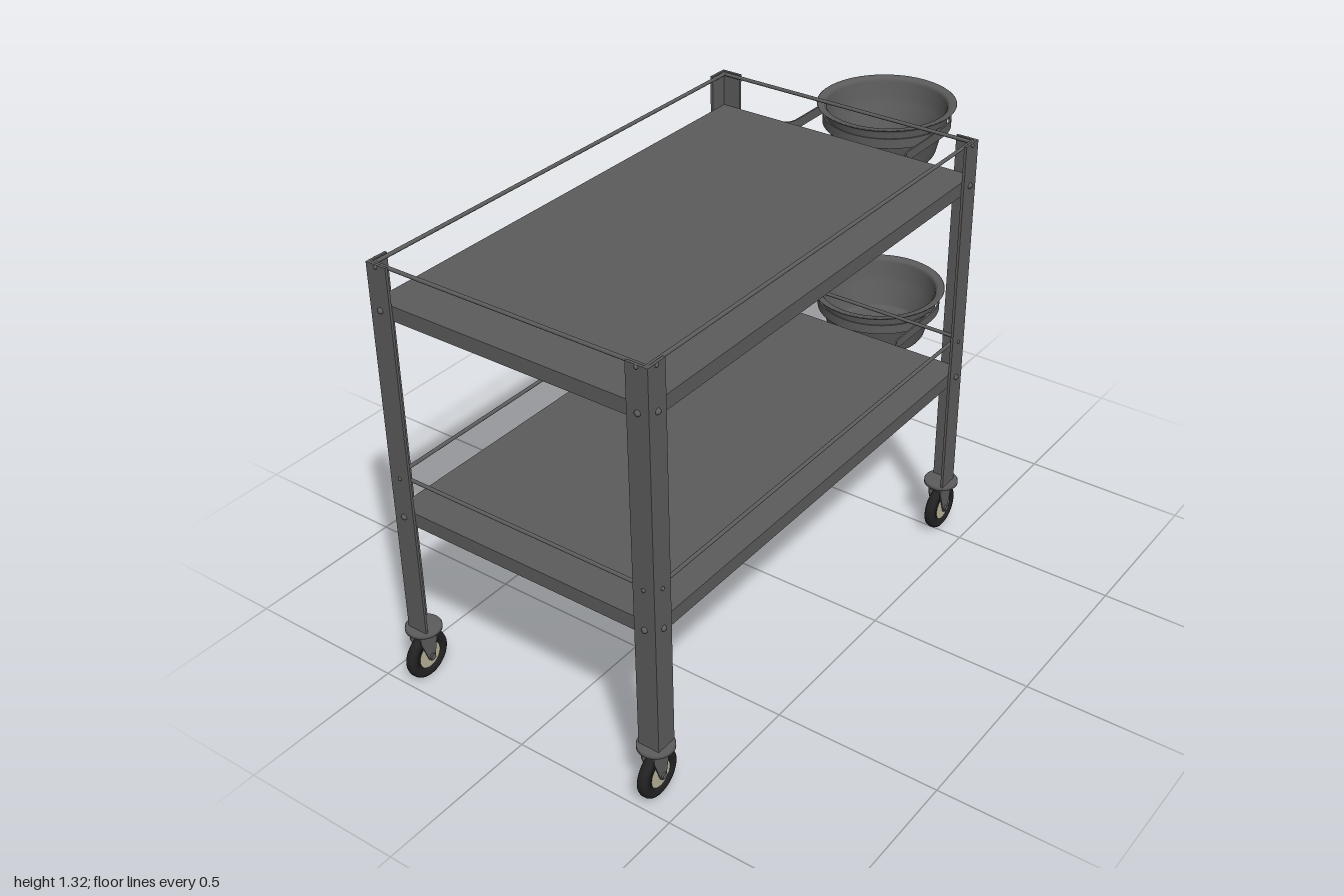
import * as THREE from 'three';

const steel = new THREE.MeshStandardMaterial({ color: 0x5c5c5c, side: THREE.DoubleSide });
const rubber = new THREE.MeshStandardMaterial({ color: 0x222222 });
const hubMat = new THREE.MeshStandardMaterial({ color: 0xb8b29a });

// Overall frame: outer faces of the four corner posts
const X0 = -0.957, X1 = 0.547, Z = 0.438, CX = (X0 + X1) / 2;
const POST = 0.066, T = 0.008, SHELVES = [0.585, 1.217];

function add(parent, name, geometry, material, x = 0, y = 0, z = 0) {
  const mesh = new THREE.Mesh(geometry, material);
  mesh.name = name;
  mesh.position.set(x, y, z);
  parent.add(mesh);
  return mesh;
}

function group(parent, name, x = 0, y = 0, z = 0) {
  const g = new THREE.Group();
  g.name = name;
  g.position.set(x, y, z);
  parent.add(g);
  return g;
}

const box = (w, h, d) => new THREE.BoxGeometry(w, h, d);
const lathe = (pts, n = 48) => new THREE.LatheGeometry(pts.map(p => new THREE.Vector2(...p)), n);

// Domed bolt head whose dome points along +y before turning
const boltGeo = r => lathe([[r, 0], [r * 0.85, r * 0.5], [r * 0.5, r * 0.8], [0, r * 0.9]], 12);

// Angle-iron corner post with bolts on both outer faces
function buildPost(root, sx, sz) {
  const post = group(root, 'cornerPost', sx > 0 ? X1 : X0, 0, sz * Z);
  const h = 1.148, y = 0.178 + h / 2;
  add(post, 'postFrontFlange', box(POST, h, T), steel, -sx * POST / 2, y, -sz * T / 2);
  add(post, 'postSideFlange', box(T, h, POST - T), steel, -sx * T / 2, y, -sz * (POST + T) / 2);
  for (const top of SHELVES) {
    for (const [dy, r] of [[-0.02, 0.009], [0.103, 0.006]]) {
      add(post, 'bolt', boltGeo(r), steel, -sx * POST / 2, top + dy, 0).rotation.x = sz * Math.PI / 2;
      add(post, 'bolt', boltGeo(r), steel, 0, top + dy, -sz * POST / 2).rotation.z = -sx * Math.PI / 2;
    }
  }
}

// Swivel caster: round plate, stem, leaning fork, wheel
function buildCaster(root, x, z) {
  const c = group(root, 'caster', x, 0, z);
  add(c, 'casterPlate', lathe([[0, 0.164], [0.045, 0.164], [0.052, 0.167], [0.052, 0.176], [0.049, 0.179], [0, 0.179]], 32), steel);
  add(c, 'casterStem', new THREE.CylinderGeometry(0.018, 0.018, 0.02, 20), steel, 0, 0.156, 0);
  const side = new THREE.Shape();
  side.moveTo(-0.036, 0.157);
  side.lineTo(0.024, 0.157);
  side.lineTo(0.026, 0.135);
  side.lineTo(0.012, 0.066);
  side.quadraticCurveTo(0, 0.054, -0.01, 0.067);
  side.lineTo(-0.036, 0.14);
  const forkGeo = new THREE.ExtrudeGeometry(side, { depth: 0.004, bevelEnabled: false });
  for (const fz of [-0.022, 0.018]) add(c, 'forkSide', forkGeo, steel, 0, 0, fz);
  add(c, 'forkBridge', box(0.06, 0.005, 0.044), steel, -0.006, 0.155, 0);
  const wheel = group(c, 'wheel', 0, 0.076, 0);
  wheel.rotation.x = Math.PI / 2;
  const tyre = [[0.04, -0.014], [0.062, -0.016], [0.069, -0.012], [0.072, -0.005], [0.072, 0.005],
    [0.069, 0.012], [0.062, 0.016], [0.04, 0.014], [0.04, -0.014]];
  add(wheel, 'tyre', lathe(tyre, 40), rubber);
  add(wheel, 'hub', new THREE.CylinderGeometry(0.041, 0.041, 0.025, 32), hubMat);
  add(wheel, 'axle', new THREE.CylinderGeometry(0.006, 0.006, 0.056, 12), steel);
  for (const s of [-1, 1]) add(wheel, 'axleNut', new THREE.CylinderGeometry(0.01, 0.01, 0.006, 6), steel, 0, s * 0.025, 0);
}

// Tray shelf: sheet with turned-down edges and an inward lip, plus guard rails
function buildShelf(root, top) {
  const s = group(root, 'shelf', CX, top, 0);
  const w = X1 - X0 - 2 * T, d = 2 * (Z - T), h = 0.043, lip = 0.02, t = 0.005;
  add(s, 'shelfSheet', box(w, t, d), steel, 0, -t / 2, 0);
  for (const k of [-1, 1]) {
    add(s, 'longEdge', box(w, h, t), steel, 0, -h / 2, k * (d - t) / 2);
    add(s, 'shortEdge', box(t, h, d), steel, k * (w - t) / 2, -h / 2, 0);
    add(s, 'longLip', box(w, t, lip), steel, 0, -h + t / 2, k * (d - lip) / 2);
    add(s, 'shortLip', box(lip, t, d), steel, k * (w - lip) / 2, -h + t / 2, 0);
    const long = new THREE.CylinderGeometry(0.0055, 0.0055, w, 12).rotateZ(Math.PI / 2);
    add(s, 'longRail', long, steel, 0, 0.103, k * (d / 2 - 0.006));
    const short = new THREE.CylinderGeometry(0.0055, 0.0055, d, 12).rotateX(Math.PI / 2);
    add(s, 'shortRail', short, steel, k * (w / 2 - 0.006), 0.103, 0);
  }
}

// Flat strap swept along a plan outline: upright rectangle section in a loop
function strapGeometry(pts, height, thick) {
  const pos = [], index = [], n = pts.length;
  pts.forEach((p, i) => {
    const a = pts[Math.max(i - 1, 0)], b = pts[Math.min(i + 1, n - 1)];
    const dir = b.clone().sub(a).normalize();
    for (const [o, y] of [[-1, -1], [1, -1], [1, 1], [-1, 1]]) {
      pos.push(p.x - dir.y * o * thick / 2, y * height / 2, p.y + dir.x * o * thick / 2);
    }
    if (i < n - 1) {
      for (let j = 0; j < 4; j++) {
        const q = i * 4 + j, r = i * 4 + (j + 1) % 4;
        index.push(q, r, q + 4, r, r + 4, q + 4);
      }
    }
  });
  index.push(0, 2, 1, 0, 3, 2);
  const e = (n - 1) * 4;
  index.push(e, e + 1, e + 2, e, e + 2, e + 3);
  const g = new THREE.BufferGeometry();
  g.setAttribute('position', new THREE.Float32BufferAttribute(pos, 3));
  g.setIndex(index);
  const flat = g.toNonIndexed();
  flat.computeVertexNormals();
  return flat;
}

// Basin hung in a strap that is riveted to the shelf end
function buildBasin(root, top) {
  const b = group(root, 'basinHolder', 0, top, 0);
  const cx = 0.781, r = 0.194, x = X1 - T + 0.003;
  const path = new THREE.Path();
  path.moveTo(x, 0.365);
  path.lineTo(x, 0.235);
  path.quadraticCurveTo(x + 0.003, r, x + 0.045, r);
  path.lineTo(cx, r);
  path.absarc(cx, 0, r, Math.PI / 2, -Math.PI / 2, true);
  path.lineTo(x + 0.045, -r);
  path.quadraticCurveTo(x + 0.003, -r, x, -0.235);
  path.lineTo(x, -0.365);
  add(b, 'holderStrap', strapGeometry(path.getPoints(24), 0.03, 0.005), steel, 0, -0.02, 0);
  // Inner half of the ring, nearest the shelf
  const inner = new THREE.Path();
  inner.absarc(cx, 0, r - 0.004, Math.PI / 2, Math.PI * 1.5, false);
  add(b, 'holderRing', strapGeometry(inner.getPoints(32), 0.03, 0.005), steel, 0, -0.02, 0);
  for (const z of [-0.345, -0.285, 0.285, 0.345]) {
    add(b, 'rivet', boltGeo(0.006), steel, x + 0.002, -0.02, z).rotation.z = -Math.PI / 2;
  }
  // Outside wall upward, over the rim, inside wall down
  const profile = [[0, -0.137], [0.135, -0.137], [0.146, -0.133], [0.153, -0.122], [0.172, -0.045], [0.176, -0.036],
    [0.182, -0.03], [0.185, 0.012], [0.19, 0.022], [0.207, 0.027], [0.209, 0.03], [0.206, 0.032], [0.187, 0.029],
    [0.18, 0.02], [0.178, -0.03], [0.168, -0.045], [0.15, -0.12], [0.144, -0.128], [0.134, -0.132], [0, -0.132]];
  add(b, 'basin', lathe(profile, 64), steel, cx, 0, 0).scale.x = 1.035;
}

export function createModel() {
  const root = new THREE.Group();
  root.name = 'trolley';
  for (const sx of [-1, 1]) {
    for (const sz of [-1, 1]) {
      buildPost(root, sx, sz);
      buildCaster(root, sx > 0 ? 0.524 : -0.93, sz * 0.408);
    }
  }
  for (const top of SHELVES) {
    buildShelf(root, top);
    buildBasin(root, top);
  }
  return root;
}
